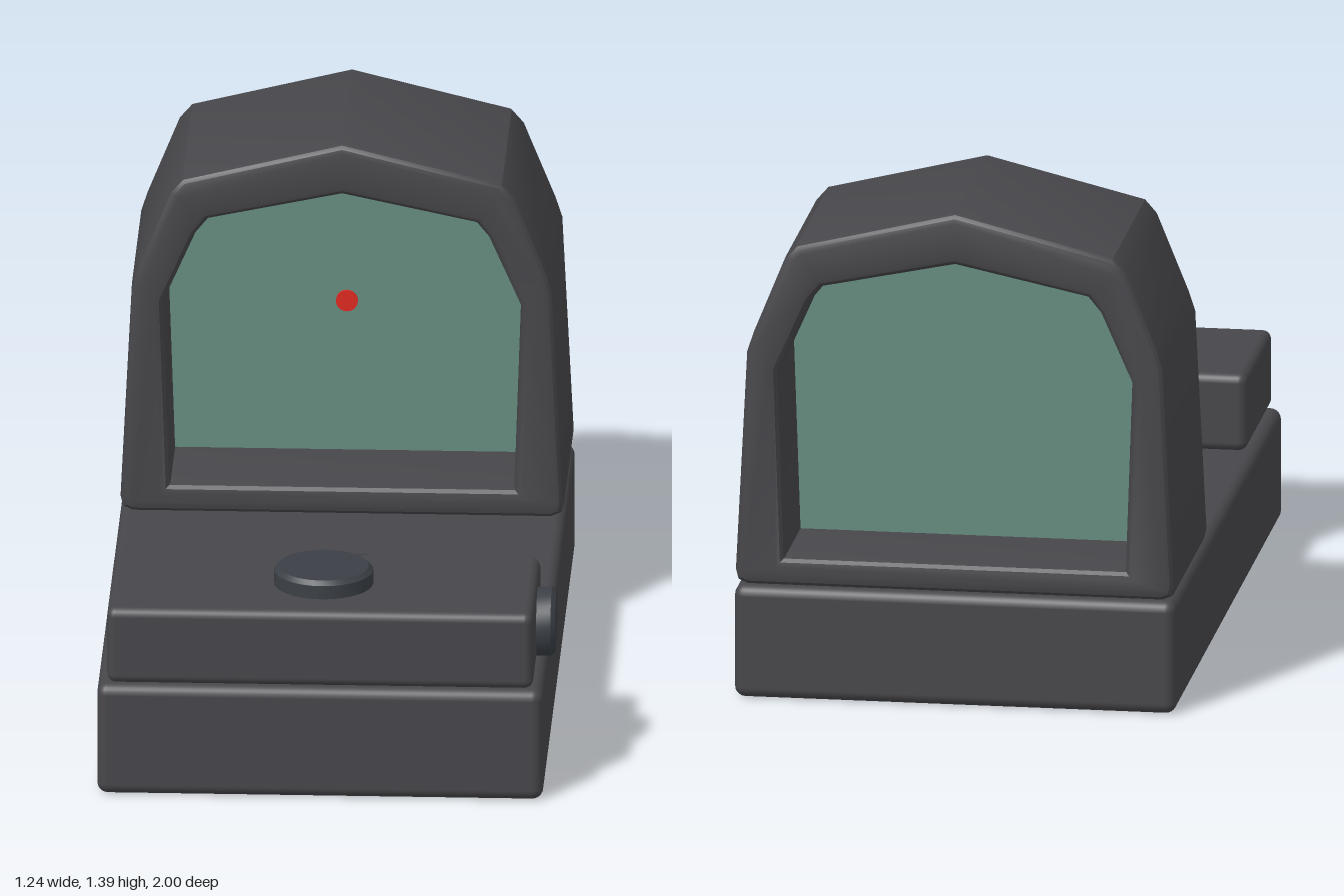
import * as THREE from 'three';
import { RoundedBoxGeometry } from 'three/addons/geometries/RoundedBoxGeometry.js';
import { toCreasedNormals } from 'three/addons/utils/BufferGeometryUtils.js';

const CX = -0.013; // body centre line; the side knob sticks out on +x

const bodyMat = new THREE.MeshStandardMaterial({ color: 0x47474b });
const knobMat = new THREE.MeshStandardMaterial({ color: 0x3b4046 });
const glassMat = new THREE.MeshStandardMaterial({ color: 0x668d80 });
const dotMat = new THREE.MeshStandardMaterial({ color: 0xe02a20 });

function add(parent, name, geometry, material, x = 0, y = 0, z = 0) {
  const mesh = new THREE.Mesh(geometry, material);
  mesh.name = name;
  mesh.position.set(x, y, z);
  parent.add(mesh);
  return mesh;
}

// Box with softened edges, given by its limits
function block(parent, name, material, [x0, x1], [y0, y1], [z0, z1], radius) {
  const geometry = new RoundedBoxGeometry(x1 - x0, y1 - y0, z1 - z0, 3, radius);
  return add(parent, name, geometry, material, (x0 + x1) / 2, (y0 + y1) / 2, (z0 + z1) / 2);
}

// Round button with chamfered rims, standing on its origin
function buttonGeometry(radius, height, chamfer) {
  const profile = [
    [0, 0], [radius - chamfer, 0], [radius, chamfer],
    [radius, height - chamfer], [radius - chamfer, height], [0, height],
  ].map(([r, y]) => new THREE.Vector2(r, y));
  return toCreasedNormals(new THREE.LatheGeometry(profile, 32), 0.5);
}

// Closed outline from its right half, listed from the bottom to the peak
function mirroredPoints(half, peakY) {
  const right = half.map(([x, y]) => new THREE.Vector2(x, y));
  const left = half.map(([x, y]) => new THREE.Vector2(-x, y)).reverse();
  return [...right, new THREE.Vector2(0, peakY), ...left];
}

export function createModel() {
  const model = new THREE.Group();
  model.name = 'reflexSight';

  // Base plate
  block(model, 'base', bodyMat, [CX - 0.607, CX + 0.607], [0, 0.317], [-1, 1], 0.03);

  // Hood: faceted arch with a window through it
  const bevel = 0.025;
  const outline = new THREE.Shape(mirroredPoints(
    [[0.57, 0.32], [0.597, 0.332], [0.604, 0.36], [0.573, 0.975], [0.555, 1.03], [0.468, 1.245], [0.435, 1.283]], 1.39));
  const opening = [[0.468, 0.4], [0.486, 0.93], [0.4, 1.125], [0.365, 1.168]];
  outline.holes.push(new THREE.Path(mirroredPoints(opening, 1.245)));
  const hood = new THREE.ExtrudeGeometry(outline, {
    depth: 0.63 - 2 * bevel, bevelEnabled: true, bevelThickness: bevel,
    bevelSize: bevel, bevelOffset: -bevel, bevelSegments: 3,
  });
  add(model, 'hood', toCreasedNormals(hood, 0.5), bodyMat, CX, 0, -1 + bevel);

  // Window pane in the middle of the hood, and the aiming dot before it
  const pane = new THREE.ExtrudeGeometry(new THREE.Shape(mirroredPoints(opening, 1.245)), {
    depth: 0.016, bevelEnabled: false,
  });
  add(model, 'lens', pane, glassMat, CX, 0, -0.693);
  const dot = new THREE.CylinderGeometry(0.03, 0.03, 0.008, 24).rotateX(Math.PI / 2);
  add(model, 'aimingDot', dot, dotMat, CX, 0.832, -0.674);

  // Emitter housing with the small block behind it
  block(model, 'emitterHousing', bodyMat, [CX - 0.58, CX + 0.58], [0.32, 0.537], [0.515, 0.995], 0.025);
  block(model, 'emitter', knobMat, [CX - 0.105, CX + 0.105], [0.3, 0.465], [0.323, 0.517], 0.008);

  // Adjusting knobs on the top and the left side
  add(model, 'topKnob', buttonGeometry(0.135, 0.065, 0.012), knobMat, CX, 0.522, 0.757);
  const sideKnob = add(model, 'sideKnob', buttonGeometry(0.094, 0.065, 0.012), knobMat, 0.553, 0.418, 0.71);
  sideKnob.rotation.z = -Math.PI / 2;

  // Mounting screws
  for (const side of [-1, 1]) {
    add(model, side > 0 ? 'leftScrew' : 'rightScrew', buttonGeometry(0.084, 0.055, 0.015), knobMat,
      CX + side * 0.39, 0.303, 0.12);
  }

  return model;
}
